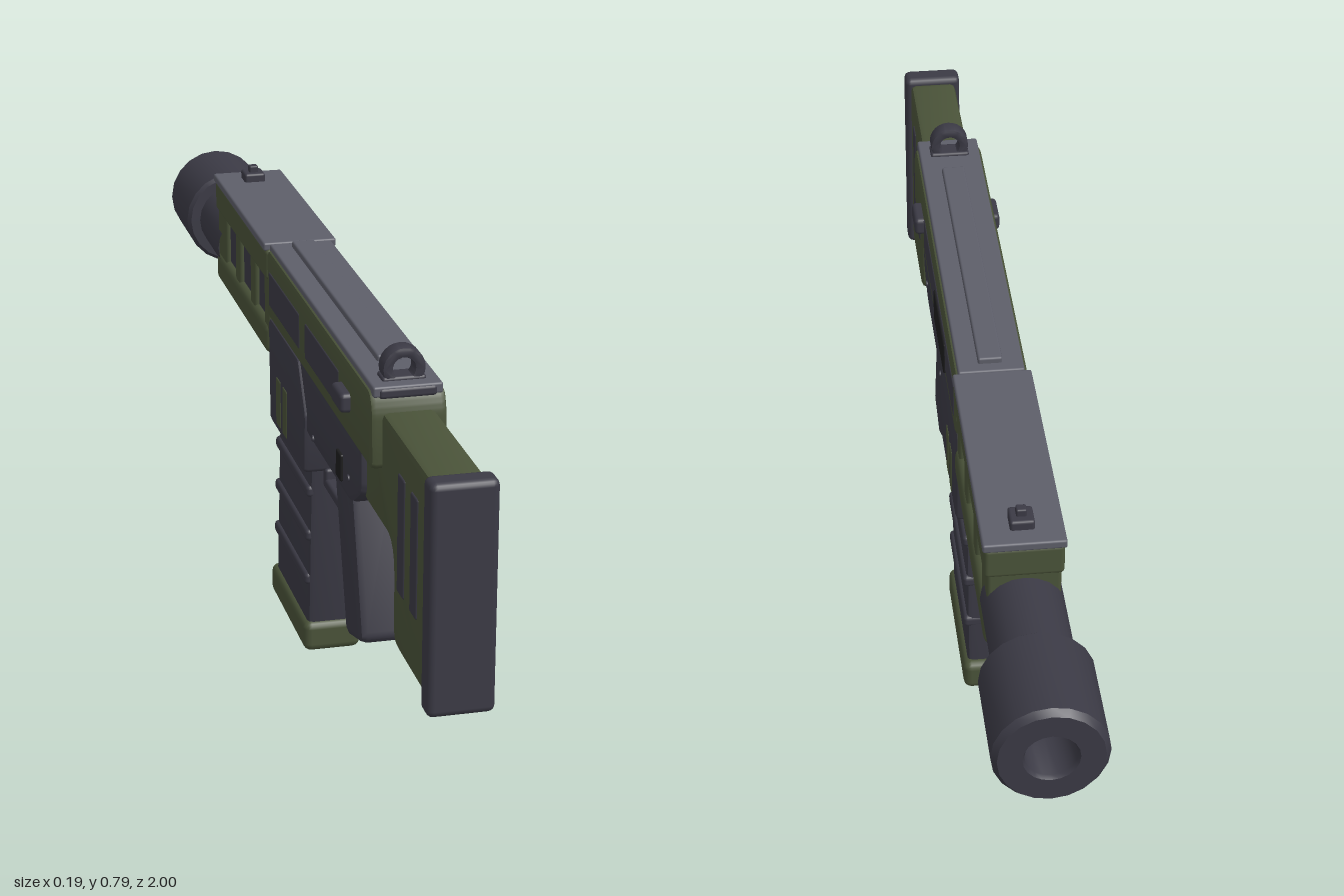
import * as THREE from 'three';
import { toCreasedNormals } from 'three/addons/utils/BufferGeometryUtils.js';
import { RoundedBoxGeometry } from 'three/addons/geometries/RoundedBoxGeometry.js';

const mat = (name, color) => {
  const m = new THREE.MeshStandardMaterial({ color });
  m.name = name;
  return m;
};

export function createModel() {
  const model = new THREE.Group();
  model.name = 'rifle';
  const dark = mat('dark slate', 0x3b3a45);
  const green = mat('olive green', 0x4a5339);
  const grey = mat('light slate', 0x5d5e69);
  const black = mat('black', 0x1d1d1e);

  const add = (name, geo, material) => {
    const mesh = new THREE.Mesh(geo, material);
    mesh.name = name;
    model.add(mesh);
    return mesh;
  };

  // Rounded box from its extents, x given as centre and half-width
  const box = (name, material, cx, hw, y0, y1, z0, z1, r = 0.006) => {
    const geo = new RoundedBoxGeometry(hw * 2, y1 - y0, z1 - z0, 2, r);
    geo.translate(cx, (y0 + y1) / 2, (z0 + z1) / 2);
    return add(name, geo, material);
  };

  // Side profile of [z, y, cornerRadius] points, extruded across x with bevels
  const profile = (name, material, hw, pts, bevel = 0.01) => {
    const s = new THREE.Shape();
    const v = pts.map((p) => new THREE.Vector2(p[0], p[1]));
    v.forEach((p, i) => {
      const prev = v[(i + v.length - 1) % v.length], next = v[(i + 1) % v.length];
      const r = pts[i][2] ?? 0.012;
      const a = p.clone().add(prev.clone().sub(p).setLength(r));
      const b = p.clone().add(next.clone().sub(p).setLength(r));
      if (i === 0) s.moveTo(a.x, a.y); else s.lineTo(a.x, a.y);
      s.quadraticCurveTo(p.x, p.y, b.x, b.y);
    });
    s.closePath();
    const depth = 2 * (hw - bevel);
    const geo = new THREE.ExtrudeGeometry(s, {
      depth, curveSegments: 5, bevelEnabled: true, bevelThickness: bevel,
      bevelSize: bevel, bevelOffset: -bevel, bevelSegments: 2,
    });
    geo.translate(0, 0, -depth / 2).rotateY(-Math.PI / 2);
    return add(name, toCreasedNormals(geo, 0.6), material);
  };

  // Turned part along the bore, points are [radius, distance towards the muzzle]
  const turned = (name, material, pts) => {
    const geo = new THREE.LatheGeometry(pts.map((p) => new THREE.Vector2(...p)), 20);
    geo.rotateX(-Math.PI / 2).translate(0, 0.587, 0);
    return add(name, toCreasedNormals(geo, 0.6), material);
  };

  // Stock with butt pad and side slots
  box('buttPad', dark, 0, 0.057, 0.297, 0.7, 0.953, 1, 0.012);
  profile('stock', green, 0.046, [
    [0.96, 0.69, 0.02], [0.96, 0.31, 0.03], [0.74, 0.31, 0.03],
    [0.735, 0.49, 0.05], [0.54, 0.49, 0.01], [0.54, 0.69, 0.01],
  ]);
  for (const side of [-1, 1])
    for (const z of [0.77, 0.85])
      box('stockSlot', dark, side * 0.044, 0.005, 0.42, 0.63, z, z + 0.04, 0.004);

  // Upper receiver
  profile('upperReceiver', green, 0.066, [
    [0.665, 0.59, 0.02], [-0.15, 0.59], [-0.15, 0.725], [0.645, 0.725, 0.02], [0.66, 0.69],
  ]);
  box('rightPanel', dark, 0.0645, 0.0035, 0.62, 0.687, -0.125, 0.435, 0.003);
  box('ejectionPort', black, 0.067, 0.004, 0.611, 0.676, 0.02, 0.205, 0.003);
  for (const z of [-0.125, 0.18])
    box('leftPanel', dark, -0.0645, 0.0035, 0.62, 0.687, z, z + 0.255, 0.003);
  for (const side of [-1, 1])
    box('sideCatch', dark, side * 0.07, 0.014, 0.64, 0.675, 0.45, 0.52, 0.008);
  box('topPlate', grey, 0, 0.06, 0.715, 0.734, -0.15, 0.652, 0.004);
  box('topRib', grey, 0, 0.022, 0.725, 0.745, -0.127, 0.53, 0.004);

  // Lower receiver with the magazine well
  profile('lowerReceiver', dark, 0.058, [
    [0.56, 0.6], [0.56, 0.505, 0.02], [0.49, 0.46, 0.03], [0.15, 0.46], [-0.13, 0.46], [-0.13, 0.6],
  ]);
  profile('magazineWell', dark, 0.065, [
    [0.16, 0.5], [0.155, 0.382, 0.015], [-0.137, 0.382, 0.015], [-0.147, 0.59], [0.1, 0.59],
  ]);
  for (const side of [-1, 1]) {
    for (const z of [-0.015, -0.07])
      box('wellSlot', green, side * 0.0635, 0.0035, 0.4, 0.495, z, z + 0.035, 0.003);
    for (const [z, y] of [[0.48, 0.505], [0.21, 0.475]]) {
      const pin = new THREE.CylinderGeometry(0.006, 0.006, 0.008, 10);
      pin.rotateZ(Math.PI / 2).translate(side * 0.057, y, z);
      add('receiverPin', pin, dark);
    }
  }
  box('selector', black, -0.059, 0.004, 0.48, 0.53, 0.4, 0.435, 0.003);

  // Grip, trigger and guard
  profile('grip', dark, 0.044, [
    [0.43, 0.48], [0.515, 0.2, 0.02], [0.4, 0.168, 0.02], [0.3, 0.48],
  ], 0.014);
  profile('trigger', dark, 0.012, [
    [0.302, 0.47, 0.004], [0.292, 0.4, 0.006], [0.275, 0.4, 0.006], [0.262, 0.47, 0.004],
  ], 0.004);
  box('triggerGuard', dark, 0, 0.024, 0.35, 0.37, 0.14, 0.36, 0.006);
  box('guardPost', dark, 0, 0.024, 0.352, 0.39, 0.14, 0.16, 0.006);

  // Magazine with ribs and base
  profile('magazine', dark, 0.046, [
    [0.138, 0.42], [0.112, 0.04], [-0.165, 0.04], [-0.132, 0.42],
  ]);
  for (const y of [0.323, 0.231, 0.138]) {
    const shift = (0.38 - y) * 0.08;
    box('magazineRib', dark, 0, 0.053, y, y + 0.024, -0.137 - shift, 0.135 - shift, 0.008);
  }
  box('magazineBase', green, 0, 0.055, 0, 0.061, -0.18, 0.122, 0.015);

  // Handguard frame around a dark core
  box('handguardCore', dark, 0, 0.054, 0.55, 0.7, -0.63, -0.15);
  box('handguardTop', green, 0, 0.068, 0.662, 0.722, -0.64, -0.147, 0.008);
  box('handguardBottom', green, 0, 0.068, 0.51, 0.572, -0.64, -0.147, 0.016);
  for (const [z0, z1] of [[-0.19, -0.147], [-0.32, -0.275], [-0.465, -0.42], [-0.638, -0.555]])
    box('handguardPost', green, 0, 0.063, 0.55, 0.69, z0, z1, 0.007);
  box('handguardCover', grey, 0, 0.071, 0.719, 0.735, -0.643, -0.153, 0.004);

  // Barrel and hollow muzzle
  turned('barrel', dark, [[0.071, 0.6], [0.071, 0.82]]);
  turned('muzzle', dark, [
    [0.05, 0.8], [0.09, 0.8], [0.097, 0.808], [0.097, 0.988], [0.088, 1],
    [0.047, 1], [0.043, 0.992], [0.043, 0.9], [0, 0.9],
  ]);

  // Rear ring sight and front post sight
  box('rearSightBase', dark, 0, 0.05, 0.712, 0.731, 0.58, 0.654, 0.006);
  box('rearSightFoot', dark, 0, 0.038, 0.725, 0.74, 0.587, 0.627, 0.005);
  const ring = new THREE.Shape().absarc(0, 0, 0.037, 0, Math.PI * 2);
  ring.holes.push(new THREE.Path().absarc(0, 0, 0.019, 0, Math.PI * 2, true));
  const ringGeo = new THREE.ExtrudeGeometry(ring, {
    depth: 0.026, curveSegments: 12, bevelThickness: 0.004, bevelSize: 0.004,
    bevelOffset: -0.004, bevelSegments: 2,
  });
  ringGeo.translate(0, 0.753, 0.596);
  add('rearSightRing', toCreasedNormals(ringGeo, 0.6), dark);
  box('frontSightBase', dark, 0, 0.021, 0.73, 0.752, -0.607, -0.562, 0.005);
  box('frontSightPost', dark, 0, 0.009, 0.745, 0.765, -0.592, -0.574, 0.003);

  return model;
}
